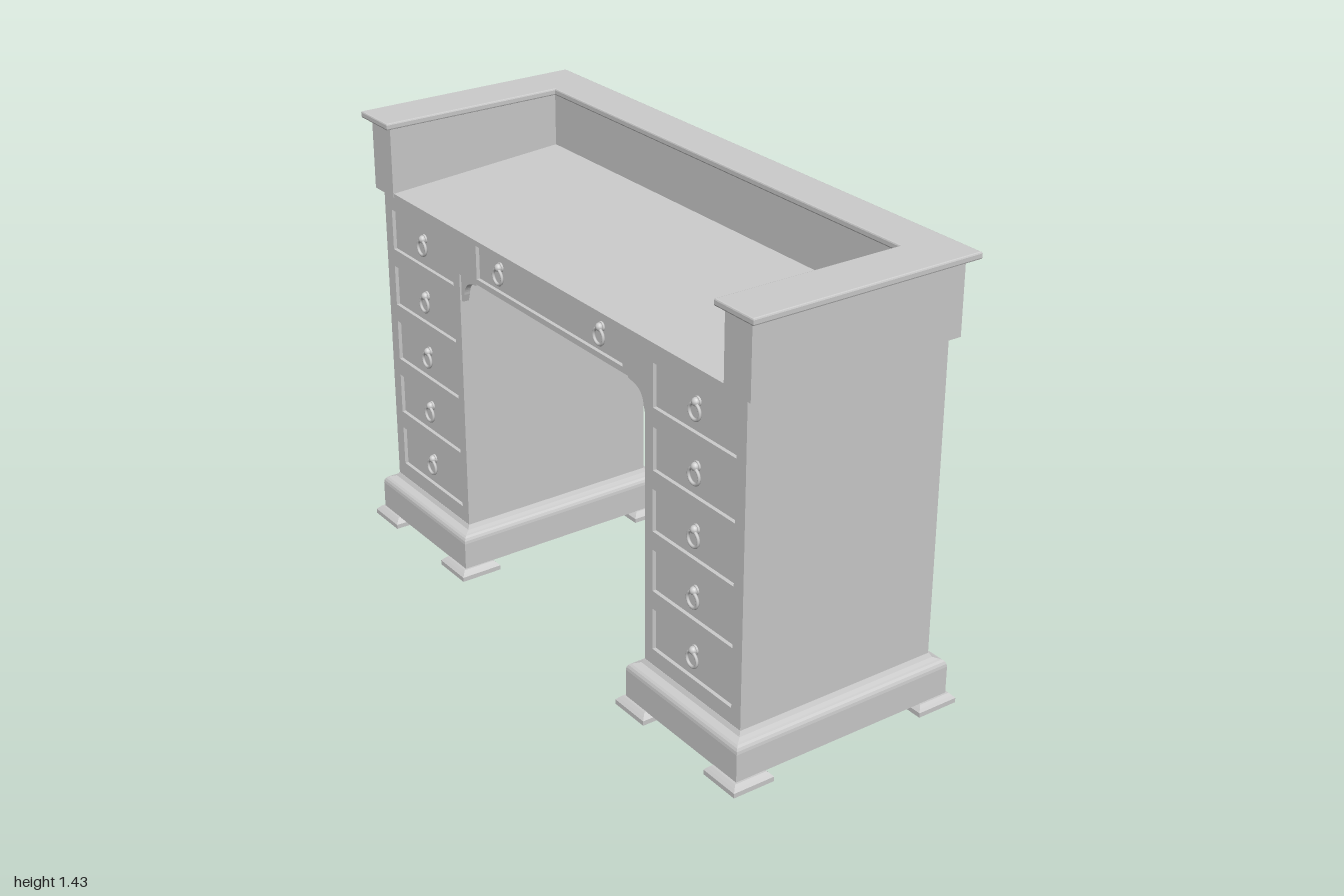
import * as THREE from 'three';

const material = new THREE.MeshStandardMaterial({ color: 0xcccccc });

function add(parent, name, geometry, x = 0, y = 0, z = 0) {
  const mesh = new THREE.Mesh(geometry, material);
  mesh.name = name;
  mesh.position.set(x, y, z);
  parent.add(mesh);
  return mesh;
}

// Box given by its min and max corners
function block(parent, name, [x0, y0, z0], [x1, y1, z1]) {
  return add(parent, name, new THREE.BoxGeometry(x1 - x0, y1 - y0, z1 - z0),
    (x0 + x1) / 2, (y0 + y1) / 2, (z0 + z1) / 2);
}

function polygon(points) {
  return new THREE.Shape(points.map(([x, y]) => new THREE.Vector2(x, y)));
}

function rectPoints(x0, x1, y0, y1) {
  return [[x0, y0], [x1, y0], [x1, y1], [x0, y1]].map(([x, y]) => new THREE.Vector2(x, y));
}

// Stacked rectangular rings [y, halfWidth, halfDepth], closed at both ends
function rectLoft(rings) {
  const pos = [];
  const corners = rings.map(([y, w, d]) => [[-w, y, d], [w, y, d], [w, y, -d], [-w, y, -d]]);
  const quad = (a, b, c, d) => pos.push(...a, ...b, ...c, ...a, ...c, ...d);
  for (let i = 0; i < corners.length - 1; i++) {
    const lo = corners[i], hi = corners[i + 1];
    for (let k = 0; k < 4; k++) {
      const n = (k + 1) % 4;
      quad(lo[k], lo[n], hi[n], hi[k]);
    }
  }
  const bottom = corners[0], top = corners[corners.length - 1];
  quad(bottom[3], bottom[2], bottom[1], bottom[0]);
  quad(top[0], top[1], top[2], top[3]);
  const g = new THREE.BufferGeometry();
  g.setAttribute('position', new THREE.Float32BufferAttribute(pos, 3));
  g.computeVertexNormals();
  return g;
}

// U-shaped slab, open toward the front, extruded upward
function uSlab(outerX, innerX, front, innerBack, back, height, bevel = 0) {
  const b = bevel;
  const shape = polygon([
    [-outerX + b, -front + b], [-innerX - b, -front + b], [-innerX - b, -innerBack + b],
    [innerX + b, -innerBack + b], [innerX + b, -front + b], [outerX - b, -front + b],
    [outerX - b, -back - b], [-outerX + b, -back - b],
  ]);
  const g = new THREE.ExtrudeGeometry(shape, {
    depth: height - 2 * b, bevelEnabled: b > 0, bevelSize: b, bevelThickness: b, bevelSegments: 2,
  });
  return g.rotateX(-Math.PI / 2).translate(0, b, 0);
}

// Knob with a hanging ring
function addPull(parent, x, y) {
  const pull = new THREE.Group();
  pull.name = 'drawerPull';
  pull.position.set(x, y, 0.342);
  const plate = new THREE.CylinderGeometry(0.015, 0.015, 0.008, 16).rotateX(Math.PI / 2);
  add(pull, 'pullPlate', plate, 0, 0.026, -0.004);
  add(pull, 'pullKnob', new THREE.SphereGeometry(0.013, 12, 8), 0, 0.026, 0.002);
  add(pull, 'pullRing', new THREE.TorusGeometry(0.024, 0.005, 8, 24), 0, -0.002, 0.006);
  parent.add(pull);
}

export function createModel() {
  const desk = new THREE.Group();
  desk.name = 'pedestalDesk';
  const FACE = 0.348, PANEL = 0.336, BACK = -0.341;
  const drawerYs = [0, 1, 2, 3, 4].map(i => 0.287 + i * 0.1925);

  // Front frame with openings for the recessed drawer fronts
  const frame = polygon([
    [-0.94, 0.165], [-0.49, 0.165], [-0.49, 1.04], [0.49, 1.04],
    [0.49, 0.165], [0.94, 0.165], [0.94, 1.18], [-0.94, 1.18],
  ]);
  const cut = (x0, x1, y0, y1) => frame.holes.push(new THREE.Path(rectPoints(x0, x1, y0, y1).reverse()));
  cut(-0.387, 0.383, 1.058, 1.166);
  for (const y of drawerYs) {
    cut(-0.898, -0.526, y - 0.067, y + 0.067);
    cut(0.526, 0.898, y - 0.067, y + 0.067);
  }
  add(desk, 'frontFrame', new THREE.ExtrudeGeometry(frame, { depth: FACE - PANEL, bevelEnabled: false }), 0, 0, PANEL);

  // Kneehole top: front and back aprons, ceiling
  block(desk, 'frontApron', [-0.49, 1.04, 0.3], [0.49, 1.18, PANEL]);
  block(desk, 'backApron', [-0.49, 1.04, BACK], [0.49, 1.18, BACK + 0.03]);
  block(desk, 'kneeholeCeiling', [-0.49, 1.1, BACK + 0.03], [0.49, 1.18, 0.3]);
  for (const x of [-0.265, 0.265]) addPull(desk, x, 1.109);

  // Curved corner bracket, built for the right-hand corner of the kneehole
  const bracket = new THREE.Shape();
  bracket.moveTo(0.49, 1.045);
  bracket.lineTo(0.4, 1.045);
  bracket.lineTo(0.4, 1.03);
  bracket.lineTo(0.425, 1.026);
  bracket.quadraticCurveTo(0.468, 1.018, 0.474, 0.975);
  bracket.lineTo(0.482, 0.95);
  bracket.lineTo(0.49, 0.95);
  const bracketGeometry = new THREE.ExtrudeGeometry(bracket, { depth: 0.02, bevelEnabled: false, curveSegments: 10 });

  for (const side of [-1, 1]) {
    const pedestal = new THREE.Group();
    pedestal.name = side > 0 ? 'leftPedestal' : 'rightPedestal';
    const cx = side * 0.715;
    block(pedestal, 'pedestalBody', [cx - 0.225, 0.165, BACK], [cx + 0.225, 1.18, PANEL]);
    for (const y of drawerYs) addPull(pedestal, cx, y - 0.002);

    // Moulded plinth
    const rings = [[0.035, 0.264, 0.386], [0.125, 0.264, 0.386]];
    for (let i = 1; i <= 4; i++) {
      const a = (i / 4) * Math.PI / 2;
      rings.push([0.125 + 0.025 * Math.sin(a), 0.246 + 0.018 * Math.cos(a), 0.368 + 0.018 * Math.cos(a)]);
    }
    rings.push([0.155, 0.233, 0.353], [0.168, 0.226, 0.346]);
    add(pedestal, 'plinth', rectLoft(rings), cx, 0, 0.003);

    // Flat feet at the four corners
    const foot = rectLoft([[0, 0.062, 0.062], [0.005, 0.07, 0.07], [0.02, 0.07, 0.07], [0.028, 0.063, 0.063], [0.036, 0.055, 0.055]]);
    for (const fx of [-0.215, 0.215])
      for (const fz of [-0.335, 0.342]) add(pedestal, 'foot', foot, cx + fx, 0, fz);

    // Brackets at front and back of the kneehole
    for (const z of [0.322, BACK + 0.004]) {
      const b = add(pedestal, 'cornerBracket', bracketGeometry, 0, 0, z);
      if (side < 0) {
        b.rotation.y = Math.PI;
        b.position.z = z + 0.02;
      }
    }
    desk.add(pedestal);
  }

  // Writing surface, rising gently to the back
  const surface = polygon([[0.36, 1.182], [0.36, 1.192], [-0.26, 1.235], [-0.26, 1.182]]
    .map(([z, y]) => [-z, y]));
  const surfaceGeometry = new THREE.ExtrudeGeometry(surface, { depth: 1.72, bevelEnabled: false });
  surfaceGeometry.rotateY(-Math.PI / 2).scale(1, 1, -1).translate(0.86, 0, 0);
  // Restore the winding after the mirror
  const index = surfaceGeometry.attributes.position;
  for (const attribute of [index, surfaceGeometry.attributes.normal, surfaceGeometry.attributes.uv]) {
    const n = attribute.itemSize, a = attribute.array;
    for (let i = 0; i < attribute.count; i += 3)
      for (let k = 0; k < n; k++)
        [a[(i + 1) * n + k], a[(i + 2) * n + k]] = [a[(i + 2) * n + k], a[(i + 1) * n + k]];
  }
  surfaceGeometry.computeVertexNormals();
  add(desk, 'writingSurface', surfaceGeometry);

  // Raised gallery around back and sides, with its overhanging cap
  add(desk, 'gallery', uSlab(0.97, 0.857, 0.362, -0.25, -0.356, 0.23), 0, 1.18, 0);
  add(desk, 'galleryCap', uSlab(1, 0.838, 0.383, -0.238, -0.386, 0.022, 0.005), 0, 1.408, 0);
  return desk;
}
